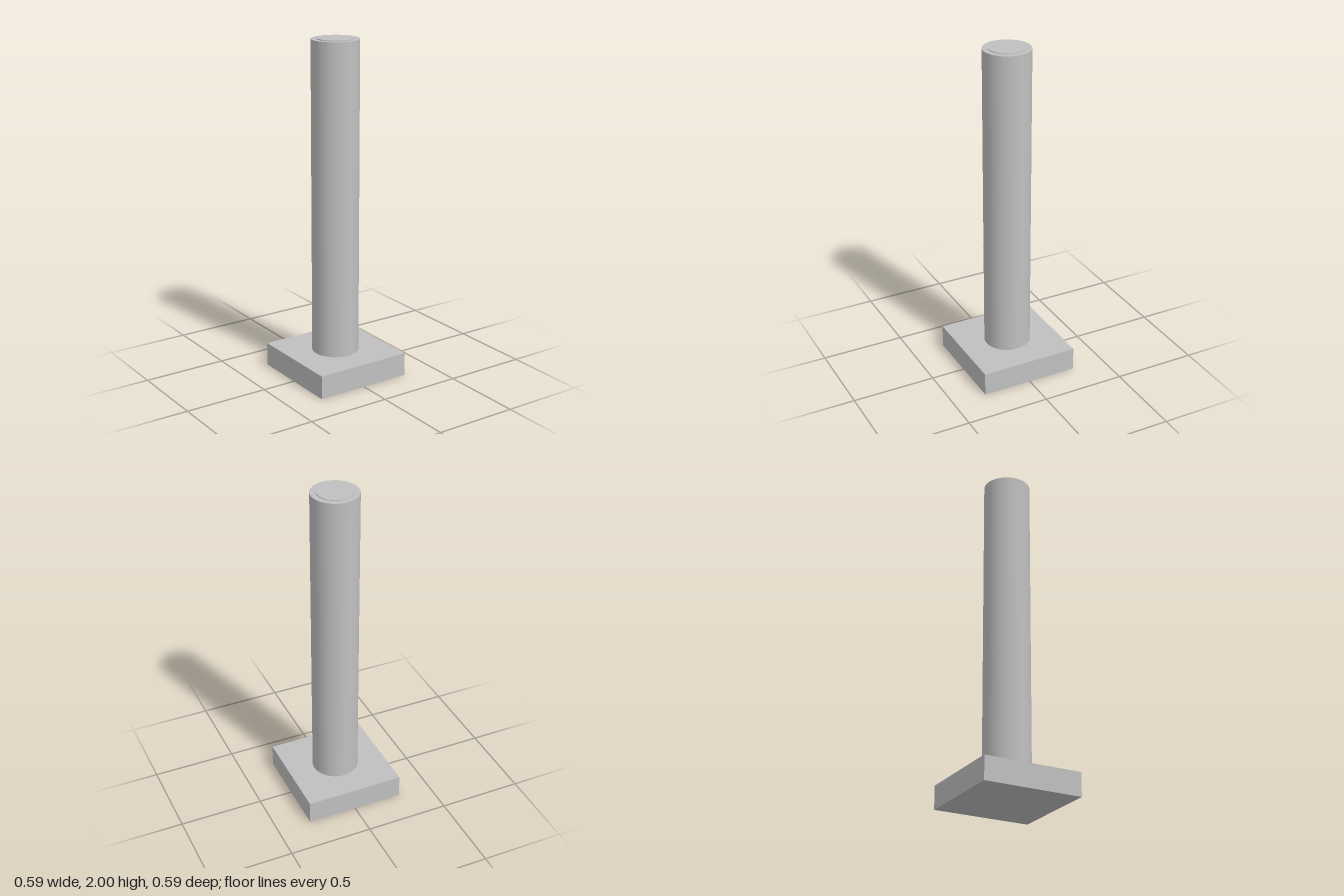
import * as THREE from 'three';

export function createModel() {
  const group = new THREE.Group();
  const grey = new THREE.MeshStandardMaterial({ color: 0xc0c0c0 });
  grey.name = 'light grey';

  const add = (name, geometry, y) => {
    const mesh = new THREE.Mesh(geometry, grey);
    mesh.name = name;
    mesh.position.y = y;
    group.add(mesh);
  };

  const baseHeight = 0.14, capHeight = 0.004, top = 2;
  const columnHeight = top - capHeight - baseHeight;

  // Square foot plate
  add('basePlate', new THREE.BoxGeometry(0.592, baseHeight, 0.592), baseHeight / 2);

  // Round smooth column standing on the plate
  add('column', new THREE.CylinderGeometry(0.138, 0.138, columnHeight, 96), baseHeight + columnHeight / 2);

  // Thin raised disc on the column's top
  add('topDisc', new THREE.CylinderGeometry(0.105, 0.105, capHeight, 96), top - capHeight / 2);

  return group;
}
